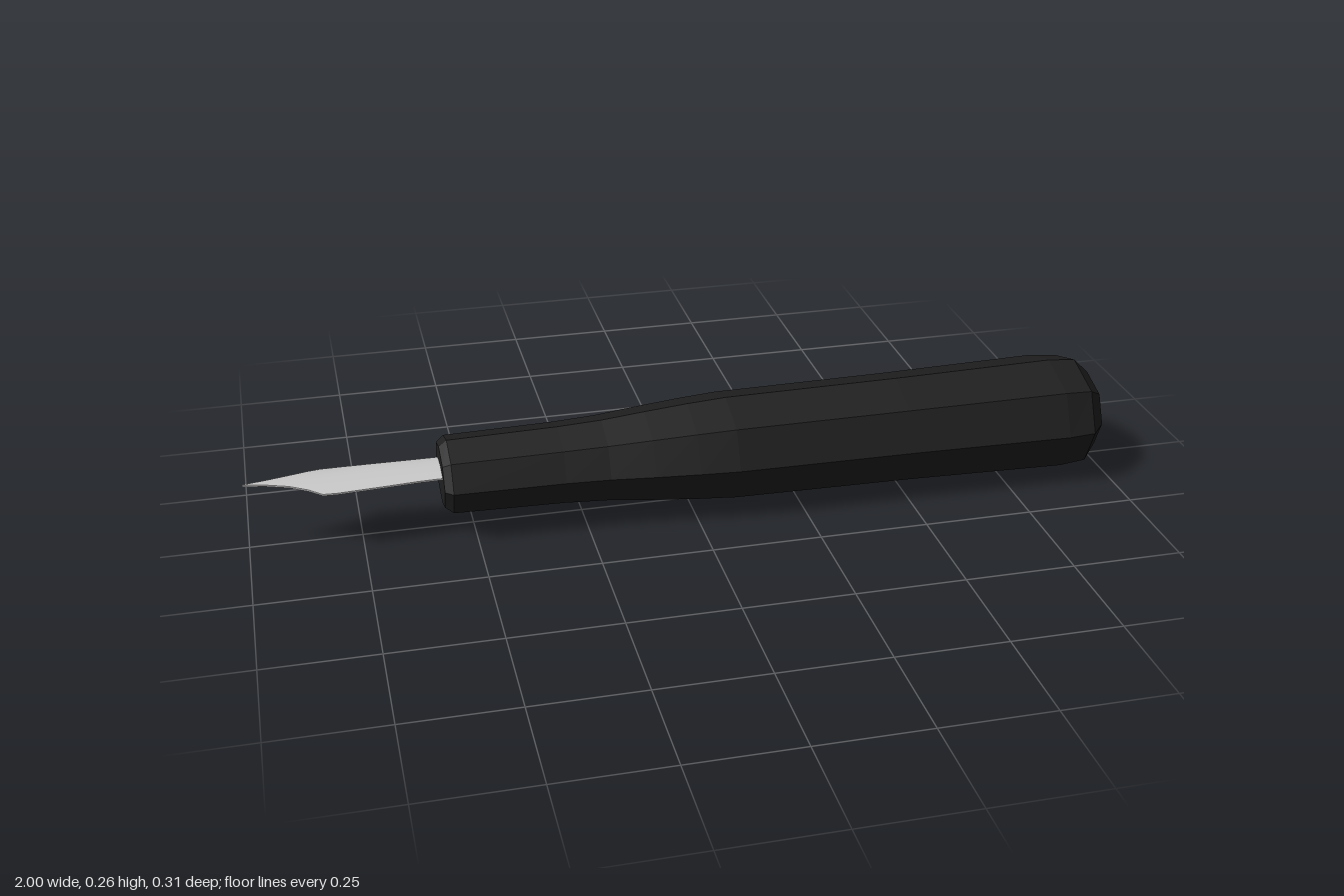
import * as THREE from 'three';
import { mergeGeometries } from 'three/addons/utils/BufferGeometryUtils.js';

// Skin a list of equal-length point rows, ordered along +x.
function loft(rows) {
  const n = rows[0].length, index = [];
  for (let r = 0; r < rows.length - 1; r++) {
    for (let i = 0; i < n - 1; i++) {
      const a = r * n + i, b = a + 1, c = a + n, d = c + 1;
      index.push(a, b, c, b, d, c);
    }
  }
  const g = new THREE.BufferGeometry();
  g.setAttribute('position', new THREE.Float32BufferAttribute(rows.flat(2), 3));
  g.setIndex(index);
  g.computeVertexNormals();
  return g;
}

export function createModel() {
  const group = new THREE.Group();
  group.name = 'penHolder';
  const black = new THREE.MeshStandardMaterial({ color: 0x1f1f1f, flatShading: true });
  black.name = 'black handle';
  const steel = new THREE.MeshStandardMaterial({ color: 0xcacaca });
  steel.name = 'steel';

  // Octagonal handle: x, half height, half depth
  const axisY = 0.131;
  const profile = [
    [-0.568, 0, 0], [-0.568, 0.07, 0.088], [-0.55, 0.084, 0.104],
    [-0.3, 0.089, 0.108], [-0.2, 0.094, 0.114], [-0.1, 0.104, 0.126],
    [0, 0.113, 0.136], [0.09, 0.119, 0.143], [0.5, 0.123, 0.147],
    [0.88, 0.13, 0.156], [0.945, 0.124, 0.149], [0.982, 0.088, 0.105], [1, 0, 0],
  ];
  const rings = profile.map(([x, h, d]) => Array.from({ length: 9 }, (_, i) => {
    const a = i * Math.PI / 4, k = i % 2 ? 1.02 : 1;
    return [x, axisY + h * k * Math.cos(a), d * k * Math.sin(a)];
  }));
  const handle = new THREE.Mesh(loft(rings), black);
  handle.name = 'handle';
  group.add(handle);

  // Arched nib: x, half width
  const outline = [
    [-1, 0.001], [-0.95, 0.011], [-0.9, 0.026], [-0.86, 0.044], [-0.83, 0.061],
    [-0.8, 0.062], [-0.7, 0.058], [-0.62, 0.054], [-0.5, 0.052],
  ];
  const COLS = 12, THICK = 0.004;
  const point = (x, w, t, drop) => [x, 0.158 - 0.012 * (w * t / 0.06) ** 2 - drop, w * t];
  const sheet = (drop, dir) => loft(outline.map(([x, w]) =>
    Array.from({ length: COLS + 1 }, (_, i) => point(x, w, dir * (2 * i / COLS - 1), drop))));
  const rim = (side) => loft(outline.map(([x, w]) => {
    const pair = [point(x, w, side, 0), point(x, w, side, THICK)];
    return side > 0 ? pair : pair.reverse();
  }));
  const nib = new THREE.Mesh(
    mergeGeometries([sheet(0, 1), sheet(THICK, -1), rim(1), rim(-1)]), steel);
  nib.name = 'nib';
  group.add(nib);

  return group;
}
